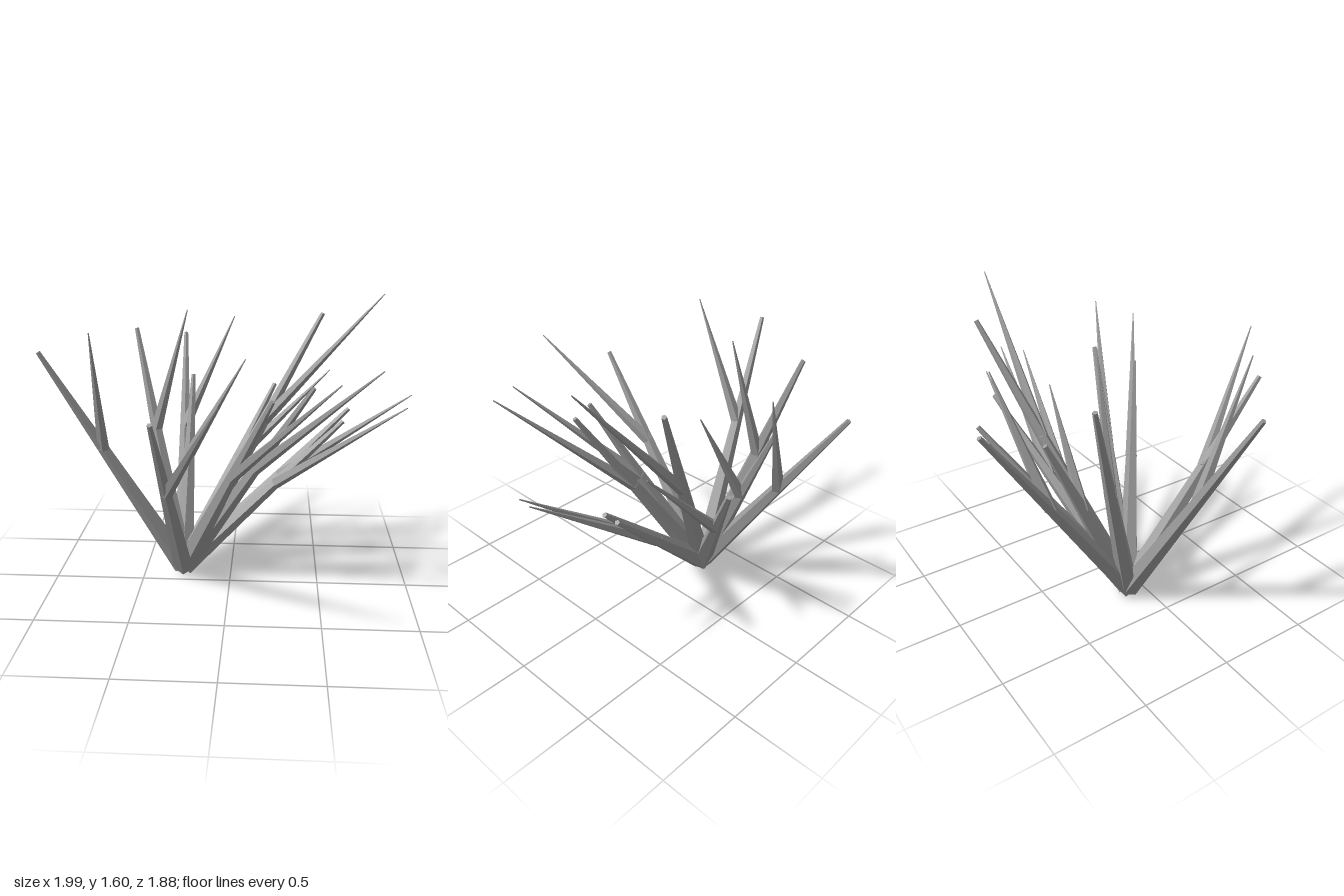
import * as THREE from 'three';

// Stem tips; every stem grows from one shared root
const ROOT = new THREE.Vector3(-0.275, 0.04, -0.1);
const TIPS = [
  [-0.99, 1.34, 0.10], [-0.57, 1.37, -0.49], [-0.33, 1.27, -0.93],
  [-0.25, 1.08, -0.57], [0.24, 1.00, -0.69], [0.51, 1.46, -0.53],
  [0.67, 0.93, -0.39], [0.63, 0.89, -0.26], [0.44, 1.18, 0.15],
  [0.23, 1.14, 0.28], [-0.32, 1.14, 0.72],
];
// Each side shoot ends at the same offset from its stem's tip
const SHOOT_OFFSET = new THREE.Vector3(0.32, 0.14, 0.215);
const JOINT = 0.58;
const UP = new THREE.Vector3(0, 1, 0);

// Five-sided tapered rod between two points
function rod(name, from, to, r0, r1, material) {
  const dir = to.clone().sub(from);
  const length = dir.length();
  const geometry = new THREE.CylinderGeometry(r1, r0, length, 5);
  geometry.translate(0, length / 2, 0);
  const mesh = new THREE.Mesh(geometry, material);
  mesh.name = name;
  mesh.position.copy(from);
  mesh.quaternion.setFromUnitVectors(UP, dir.normalize());
  return mesh;
}

export function createModel() {
  const model = new THREE.Group();
  model.name = 'branchingShrub';
  const gray = new THREE.MeshStandardMaterial({ color: 0x9c9c9c, flatShading: true });
  gray.name = 'barkGray';

  TIPS.forEach((p, i) => {
    const tip = new THREE.Vector3(...p);
    const joint = ROOT.clone().lerp(tip, JOINT);
    const branch = new THREE.Group();
    branch.name = `branch${i + 1}`;
    // Blunt main stem and the sharp shoot forking from it
    branch.add(rod('stem', ROOT, tip, 0.06, 0.013, gray));
    branch.add(rod('sideShoot', joint, tip.clone().add(SHOOT_OFFSET), 0.035, 0.003, gray));
    model.add(branch);
  });
  return model;
}
